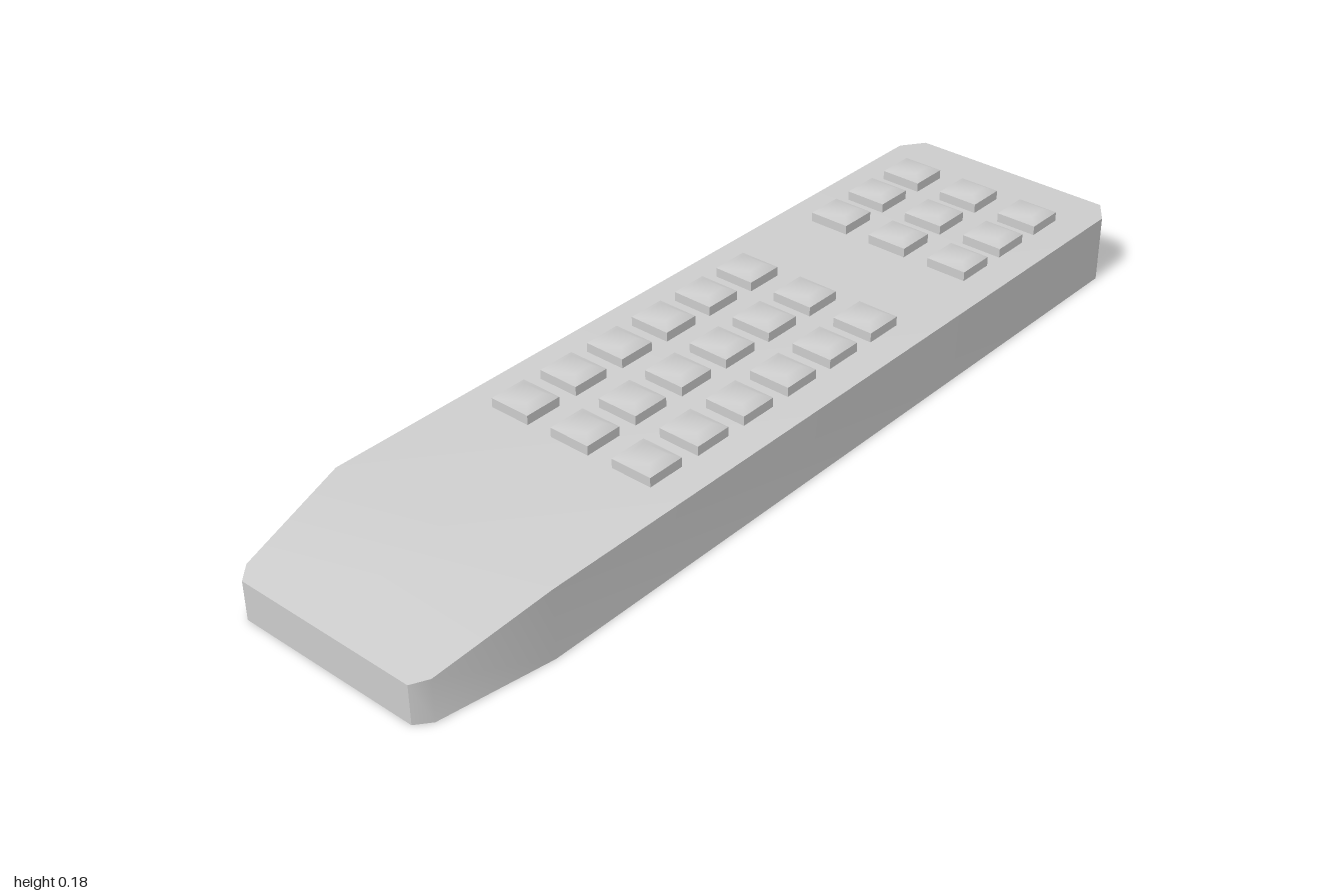
import * as THREE from 'three';
import { toCreasedNormals } from 'three/addons/utils/BufferGeometryUtils.js';

// Closed solid through four-cornered rings, counter-clockwise seen from the last ring's end
function loft(rings) {
  const index = [];
  for (let k = 0; k < rings.length - 1; k++) {
    for (let i = 0; i < 4; i++) {
      const a = k * 4 + i, b = k * 4 + (i + 1) % 4;
      index.push(a, b, b + 4, a, b + 4, a + 4);
    }
  }
  const e = (rings.length - 1) * 4;
  index.push(0, 2, 1, 0, 3, 2, e, e + 1, e + 2, e, e + 2, e + 3);
  const geometry = new THREE.BufferGeometry();
  geometry.setAttribute('position', new THREE.Float32BufferAttribute(rings.flat(2), 3));
  geometry.setIndex(index);
  return toCreasedNormals(geometry, 0.75);
}

export function createModel() {
  const model = new THREE.Group();
  model.name = 'remoteControl';
  const material = new THREE.MeshStandardMaterial({ color: 0xcccccc });

  // Body: [z, half width, top height] from back to the sloping front
  const stations = [
    [-1, 0.232, 0.147],
    [-0.95, 0.268, 0.147],
    [0.73, 0.268, 0.147],
    [0.97, 0.23, 0.091],
    [1, 0.206, 0.084],
  ];
  const body = new THREE.Mesh(
    loft(stations.map(([z, w, h]) => [[-w, 0, z], [w, 0, z], [w, h, z], [-w, h, z]])),
    material
  );
  body.name = 'body';
  model.add(body);

  // Button: upright sides with a shallow bevelled cap, [y, half width, half depth]
  const buttonGeometry = loft(
    [[-0.005, 0.046, 0.042], [0.02, 0.046, 0.042], [0.03, 0.026, 0.022]].map(
      ([y, w, d]) => [[-w, y, d], [w, y, d], [w, y, -d], [-w, y, -d]]
    )
  );

  // Two blocks of buttons, three columns each
  const blocks = [
    { name: 'upperButtons', start: -0.835, rows: 3 },
    { name: 'lowerButtons', start: -0.267, rows: 6 },
  ];
  for (const { name, start, rows } of blocks) {
    const block = new THREE.Group();
    block.name = name;
    for (let row = 0; row < rows; row++) {
      for (let column = -1; column <= 1; column++) {
        const button = new THREE.Mesh(buttonGeometry, material);
        button.name = 'button';
        button.position.set(column * 0.151, 0.147, start + row * 0.1275);
        block.add(button);
      }
    }
    model.add(block);
  }
  return model;
}
